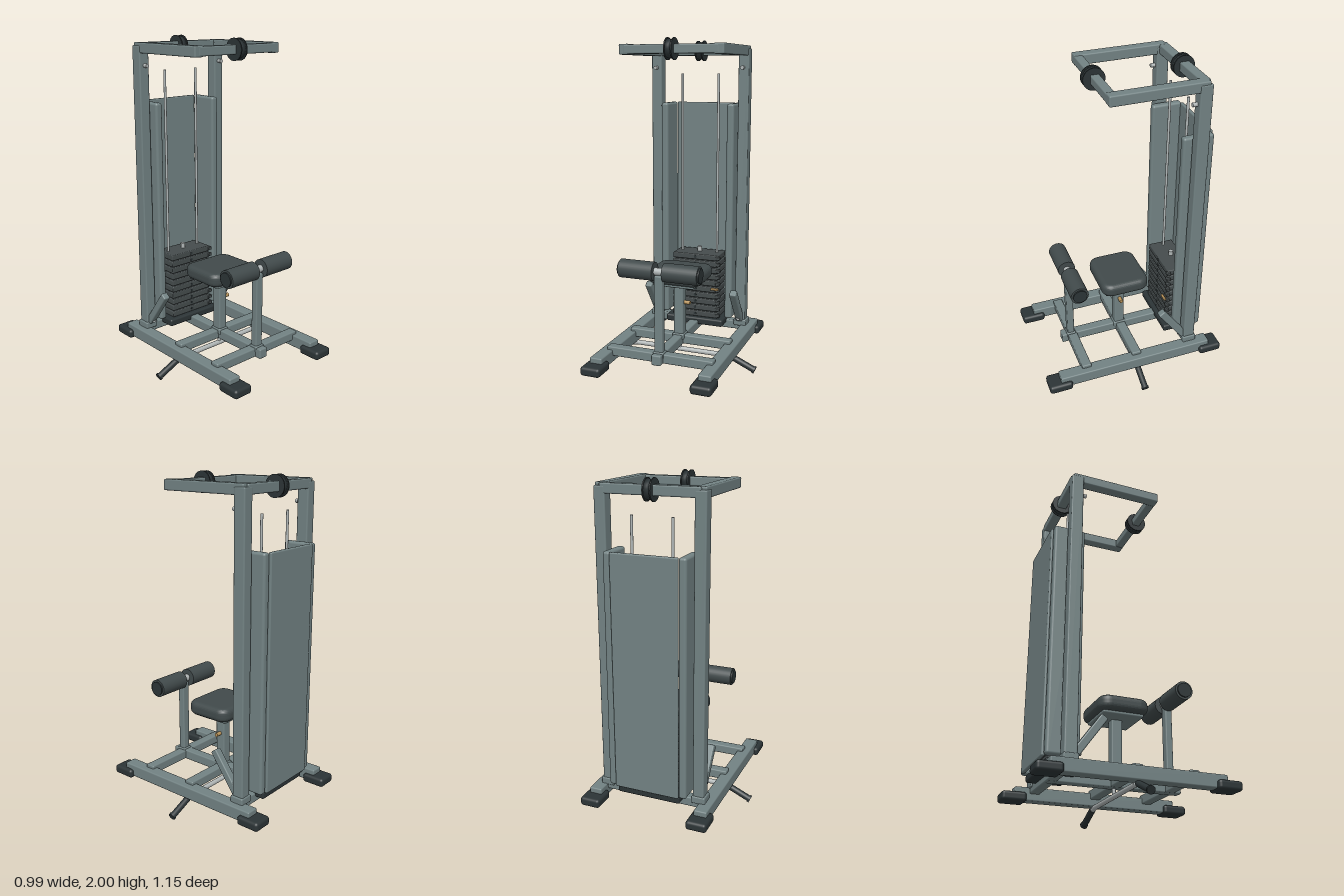
import * as THREE from 'three';
import { RoundedBoxGeometry } from 'three/addons/geometries/RoundedBoxGeometry.js';

const mat = (color) => new THREE.MeshStandardMaterial({ color });

export function createModel() {
  const group = new THREE.Group();
  const steel = mat(0x728283), dark = mat(0x2c3436), pad = mat(0x414a4b);
  const iron = mat(0x454c4d), chrome = mat(0xb0b6b6), brass = mat(0xb8935a);

  const add = (name, geometry, material, x, y, z) => {
    const mesh = new THREE.Mesh(geometry, material);
    mesh.name = name;
    mesh.position.set(x, y, z);
    group.add(mesh);
    return mesh;
  };
  // Rounded box given by its extents on each axis
  const box = (name, material, [x0, x1], [y0, y1], [z0, z1], r = 0.008) =>
    add(name, new RoundedBoxGeometry(x1 - x0, y1 - y0, z1 - z0, 3, r), material,
      (x0 + x1) / 2, (y0 + y1) / 2, (z0 + z1) / 2);
  // Cylinder between two points
  const rod = (name, material, a, b, r, sides = 24) => {
    const p = new THREE.Vector3(...a), q = new THREE.Vector3(...b);
    const d = q.clone().sub(p), c = p.clone().add(q).multiplyScalar(0.5);
    const mesh = add(name, new THREE.CylinderGeometry(r, r, d.length(), sides), material, c.x, c.y, c.z);
    mesh.quaternion.setFromUnitVectors(new THREE.Vector3(0, 1, 0), d.normalize());
    return mesh;
  };
  // Extent mirrored to side s
  const side = (s, a, b) => (s > 0 ? [a, b] : [-b, -a]);

  // Base frame
  for (const z of [0.32, -0.012, -0.38])
    box('baseCrossbar', steel, [-0.333, 0.333], [0.14, 0.197], [z - 0.03, z + 0.03]);
  box('baseSpine', steel, [-0.03, 0.03], [0.138, 0.2], [-0.4, 0.39]);

  for (const s of [-1, 1]) {
    const n = s > 0 ? 'left' : 'right';
    box(n + 'BaseRail', steel, side(s, 0.295, 0.373), [0.1, 0.177], [-0.498, 0.498]);
    for (const z of [-0.502, 0.502])
      box(n + 'Foot', dark, side(s, 0.273, 0.398), [0.09, 0.145], [z - 0.073, z + 0.073], 0.018);

    // Uprights with their sockets, bolts and angled braces
    box(n + 'Upright', steel, side(s, 0.256, 0.323), [0.17, 1.95], [-0.413, -0.34]);
    box(n + 'UprightSocket', steel, side(s, 0.25, 0.333), [0.17, 0.215], [-0.42, -0.333]);
    for (const y of [1.835, 0.225])
      rod(n + 'Bolt', chrome, [s * 0.287, y, -0.345], [s * 0.287, y, -0.312], 0.012, 12);
    const brace = add(n + 'Brace', new RoundedBoxGeometry(0.045, 0.28, 0.045, 3, 0.008), steel,
      s * 0.288, 0.327, -0.268);
    brace.rotation.x = 0.63;

    // Overhead arms
    box(n + 'OverheadArm', steel, side(s, 0.258, 0.319), [1.907, 1.968], [-0.4, 0.157]);

    // Shroud side panels and guide rods
    box(n + 'ShroudSide', steel, side(s, 0.196, 0.243), [0.222, 1.615], [-0.485, -0.298], 0.015);
    rod(n + 'GuideRod', chrome, [s * 0.12, 0.2, -0.37], [s * 0.12, 1.8, -0.37], 0.008, 16);

    // Thigh rollers
    rod(n + 'Roller', pad, [s * 0.03, 0.685, 0.323], [s * 0.242, 0.685, 0.323], 0.055, 32);
    rod(n + 'RollerCap', dark, [s * 0.242, 0.685, 0.323], [s * 0.251, 0.685, 0.323], 0.043, 32);

    // Bent pull bar grips
    rod(n + 'BarBend', chrome, [s * 0.29, 0.094, -0.012], [s * 0.35, 0.083, -0.012], 0.014);
    rod(n + 'BarGrip', dark, [s * 0.335, 0.09, -0.012], [s * 0.483, 0.024, -0.012], 0.019);
    rod(n + 'GripEnd', dark, [s * 0.475, 0.028, -0.012], [s * 0.486, 0.023, -0.012], 0.023);
  }

  // Overhead crossbars
  box('overheadFrontBar', steel, [-0.29, 0.29], [1.911, 1.964], [0.107, 0.158]);
  box('overheadRearBar', steel, [-0.29, 0.29], [1.909, 1.966], [-0.412, -0.354]);

  // Pulleys: grooved wheel between two flange plates
  for (const z of [0.137, -0.381]) {
    const profile = [[0.012, -0.018], [0.06, -0.018], [0.052, 0], [0.06, 0.018], [0.012, 0.018]];
    const wheel = add('pulleyWheel',
      new THREE.LatheGeometry(profile.map(([r, y]) => new THREE.Vector2(r, y)), 40), dark, 0, 1.938, z);
    wheel.rotation.z = Math.PI / 2;
    for (const s of [-1, 1])
      rod('pulleyFlange', dark, [s * 0.017, 1.938, z], [s * 0.024, 1.938, z], 0.063, 40);
  }

  // Shroud back and stack base
  box('shroudBack', steel, [-0.198, 0.198], [0.222, 1.615], [-0.495, -0.473]);
  box('stackBase', dark, [-0.195, 0.195], [0.172, 0.218], [-0.468, -0.256], 0.012);

  // Weight stack
  const pitch = 0.043;
  for (let i = 0; i < 10; i++) {
    const y = 0.219 + i * pitch;
    box('weightPlate', iron, [-0.155, 0.155], [y, y + 0.037], [-0.443, -0.282], 0.006);
    rod('plateHole', dark, [0, y + 0.019, -0.29], [0, y + 0.019, -0.28], 0.009, 12);
    box('plateLabel', iron, [0.158 - 0.018, 0.17], [y + 0.008, y + 0.029], [-0.3, -0.274], 0.005);
  }
  rod('stackStem', chrome, [0, 0.63, -0.37], [0, 0.675, -0.37], 0.014, 16);
  box('weightPin', brass, [0.112, 0.165], [0.413, 0.428], [-0.276, -0.26], 0.005);

  // Seat
  box('seatPost', steel, [-0.03, 0.03], [0.18, 0.54], [-0.037, 0.027]);
  box('seatPostSocket', steel, [-0.037, 0.037], [0.17, 0.208], [-0.046, 0.036]);
  box('seatPlate', steel, [-0.13, 0.13], [0.53, 0.555], [-0.127, 0.12]);
  const shape = new THREE.Shape();
  const w = 0.143, d = 0.121, c = 0.035;
  shape.absarc(w - c, d - c, c, 0, Math.PI / 2);
  shape.absarc(-w + c, d - c, c, Math.PI / 2, Math.PI);
  shape.absarc(-w + c, -d + c, c, Math.PI, Math.PI * 1.5);
  shape.absarc(w - c, -d + c, c, Math.PI * 1.5, Math.PI * 2);
  const cushion = new THREE.ExtrudeGeometry(shape, {
    depth: 0.02, bevelEnabled: true, bevelThickness: 0.032, bevelSize: 0.03, bevelSegments: 6, curveSegments: 8,
  });
  cushion.rotateX(-Math.PI / 2);
  add('seatCushion', cushion, pad, 0, 0.578, -0.006);
  rod('seatPin', brass, [0.02, 0.405, -0.005], [0.068, 0.405, -0.005], 0.012, 16);

  // Thigh roller post and axle
  box('rollerPost', steel, [-0.026, 0.026], [0.18, 0.665], [0.306, 0.35]);
  box('rollerPostSocket', steel, [-0.033, 0.033], [0.17, 0.208], [0.298, 0.358]);
  rod('rollerAxle', chrome, [-0.24, 0.685, 0.323], [0.24, 0.685, 0.323], 0.022);

  // Pull bar slung beneath the base
  rod('pullBar', chrome, [-0.3, 0.094, -0.012], [0.3, 0.094, -0.012], 0.015);
  rod('pullBarHanger', chrome, [0, 0.094, -0.012], [0, 0.145, -0.012], 0.01, 16);

  return group;
}
